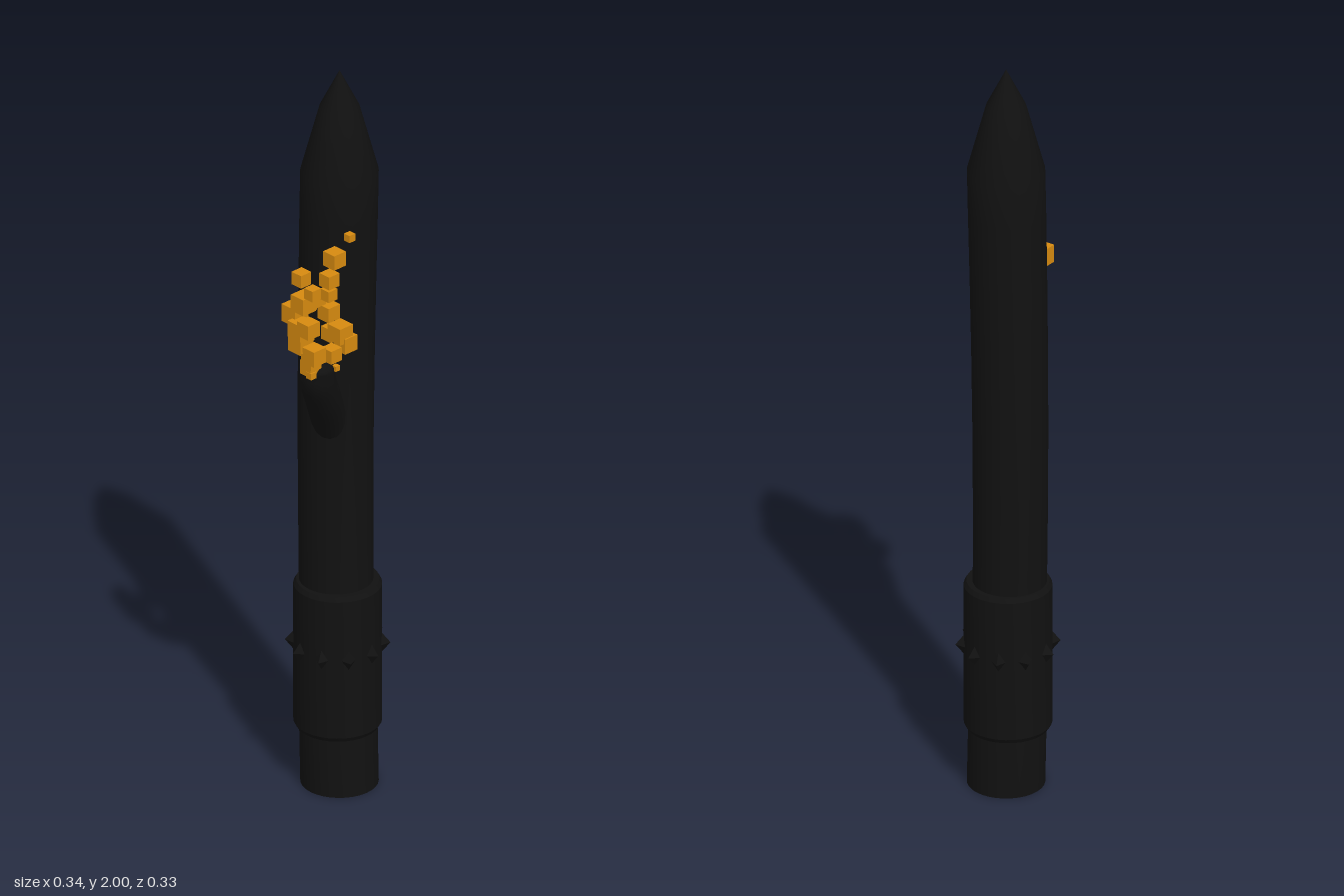
import * as THREE from 'three';
import { toCreasedNormals } from 'three/addons/utils/BufferGeometryUtils.js';

const CX = 0.036, CZ = -0.041;

function lathe(points) {
  return new THREE.LatheGeometry(points.map(([r, y]) => new THREE.Vector2(r, y)), 32);
}

export function createModel() {
  const group = new THREE.Group();
  const black = new THREE.MeshStandardMaterial({ color: 0x111111 });
  const orange = new THREE.MeshStandardMaterial({ color: 0xd68a10 });
  const add = (name, geometry, material = black, parent = group) => {
    const mesh = new THREE.Mesh(geometry, material);
    mesh.name = name;
    parent.add(mesh);
    return mesh;
  };

  // Pointed shaft, bowed slightly towards the back in its middle
  const shaft = lathe([[0, 0], [0.098, 0], [0.098, 0.17], [0.094, 0.4], [0.093, 0.6], [0.094, 0.8],
    [0.095, 1], [0.096, 1.2], [0.097, 1.4], [0.098, 1.6], [0.098, 1.72], [0.05, 1.9], [0, 2]]);
  const p = shaft.attributes.position;
  for (let i = 0; i < p.count; i++) {
    const bow = Math.sin(Math.PI * Math.min(p.getY(i) / 1.72, 1));
    p.setX(i, p.getX(i) + 0.038 - 0.004 * bow);
    p.setZ(i, p.getZ(i) - 0.036 - 0.012 * bow);
  }
  add('shaft', toCreasedNormals(shaft, 0.35));

  // Grip collar with bevelled rims
  const collar = lathe([[0.085, 0.16], [0.104, 0.16], [0.111, 0.172], [0.111, 0.555], [0.104, 0.567], [0.085, 0.567]]);
  add('collar', toCreasedNormals(collar, 0.35)).position.set(CX, 0, CZ);

  // Ring of pyramid studs round the collar
  const studs = new THREE.Group();
  studs.name = 'studs';
  studs.position.set(CX, 0.39, CZ);
  group.add(studs);
  const studShape = new THREE.ConeGeometry(0.044, 0.036, 4).toNonIndexed();
  studShape.rotateZ(-Math.PI / 2).scale(1, 1, 0.65).translate(0.114, 0, 0);
  studShape.computeVertexNormals();
  for (let i = 0; i < 10; i++) add('stud', studShape, black, studs).rotation.y = i * Math.PI / 5;

  // Side branch leaning out of the shaft, closed with a rounded end
  const curve = new THREE.CatmullRomCurve3([[0.025, 0.97, -0.03], [-0.02, 1.06, 0.005],
    [-0.065, 1.15, 0.047], [-0.095, 1.215, 0.072], [-0.1, 1.25, 0.077]].map(v => new THREE.Vector3(...v)));
  add('branch', new THREE.TubeGeometry(curve, 20, 0.046, 16));
  const end = add('branchEnd', new THREE.SphereGeometry(0.046, 16, 8, 0, Math.PI * 2, 0, Math.PI / 2));
  end.position.set(-0.1, 1.25, 0.077);
  end.scale.y = 0.55;

  // Flame of small cubes: x, y, z, size
  const flame = new THREE.Group();
  flame.name = 'flame';
  group.add(flame);
  const cubes = [
    [-0.053, 1.64, 0.155, 0.02], [-0.08, 1.575, 0.127, 0.04], [-0.1, 1.525, 0.135, 0.036],
    [-0.145, 1.515, 0.075, 0.035], [-0.092, 1.475, 0.12, 0.03], [-0.145, 1.45, 0.085, 0.045],
    [-0.105, 1.45, 0.08, 0.035], [-0.14, 1.49, 0.12, 0.03], [-0.07, 1.405, 0.085, 0.04],
    [-0.135, 1.395, 0.03, 0.048], [-0.145, 1.37, 0.07, 0.045], [-0.143, 1.385, 0.105, 0.04],
    [-0.055, 1.355, 0.115, 0.045], [-0.042, 1.325, 0.118, 0.042], [-0.06, 1.34, 0.08, 0.036],
    [-0.14, 1.32, 0.127, 0.042], [-0.137, 1.325, 0.06, 0.045], [-0.13, 1.27, 0.095, 0.038],
    [-0.135, 1.295, 0.105, 0.036], [-0.12, 1.43, 0.06, 0.036], [-0.095, 1.315, 0.137, 0.036],
    [-0.065, 1.255, 0.11, 0.014], [-0.138, 1.255, 0.11, 0.018], [-0.12, 1.34, 0.045, 0.04]];
  for (const [x, y, z, s] of cubes) {
    const cube = add('flameCube', new THREE.BoxGeometry(s, s, s), orange, flame);
    cube.position.set(x, y, z);
    cube.rotation.y = 0.2;
  }
  return group;
}
